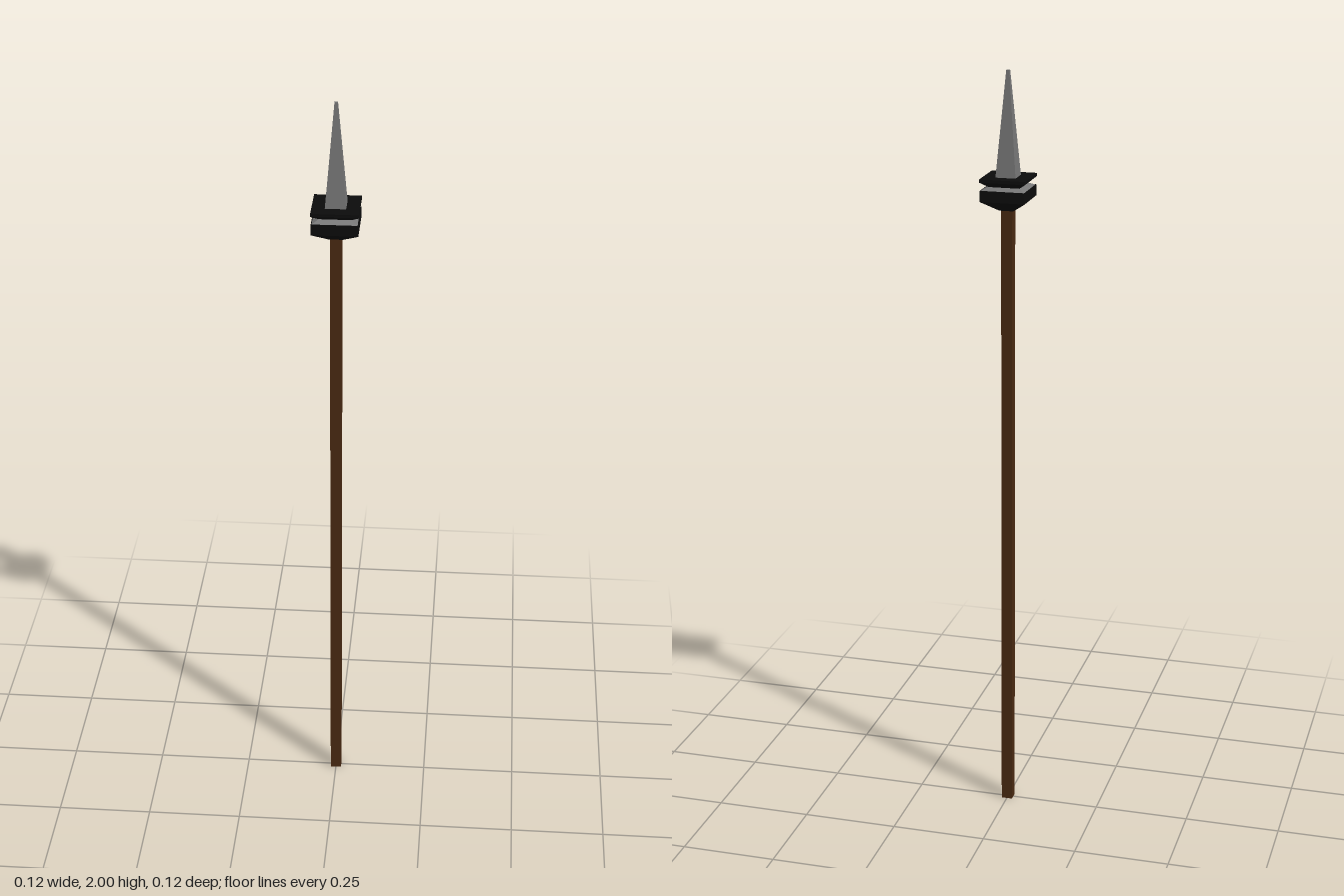
import * as THREE from 'three';

const material = (color) => new THREE.MeshStandardMaterial({ color, flatShading: true });

// Square frustum between two heights, given half-widths at bottom and top
function squareFrustum(name, mat, y0, y1, half0, half1) {
  const height = y1 - y0;
  const geometry = new THREE.CylinderGeometry(half1 * Math.SQRT2, half0 * Math.SQRT2, height, 4);
  geometry.rotateY(Math.PI / 4);
  geometry.translate(0, y0 + height / 2, 0);
  const mesh = new THREE.Mesh(geometry, mat);
  mesh.name = name;
  return mesh;
}

export function createModel() {
  const wood = material(0x4a2a12);
  const black = material(0x0c0c0c);
  const steel = material(0x777777);

  const spear = new THREE.Group();
  spear.name = 'spear';

  // Square wooden pole
  spear.add(squareFrustum('shaft', wood, 0, 1.66, 0.0145, 0.0145));

  // Stepped collar: tapered socket, block, pale sloping band and flared plate
  const collar = new THREE.Group();
  collar.name = 'collar';
  collar.add(
    squareFrustum('collarSocket', black, 1.65, 1.678, 0.018, 0.058),
    squareFrustum('collarBlock', black, 1.678, 1.706, 0.058, 0.058),
    squareFrustum('collarBand', steel, 1.706, 1.714, 0.056, 0.038),
    squareFrustum('collarNeck', black, 1.712, 1.727, 0.038, 0.059),
    squareFrustum('collarPlate', black, 1.727, 1.735, 0.059, 0.059),
  );
  spear.add(collar);

  // Four-sided spike with a tiny blunt tip
  spear.add(squareFrustum('blade', steel, 1.735, 2, 0.026, 0.004));

  return spear;
}
